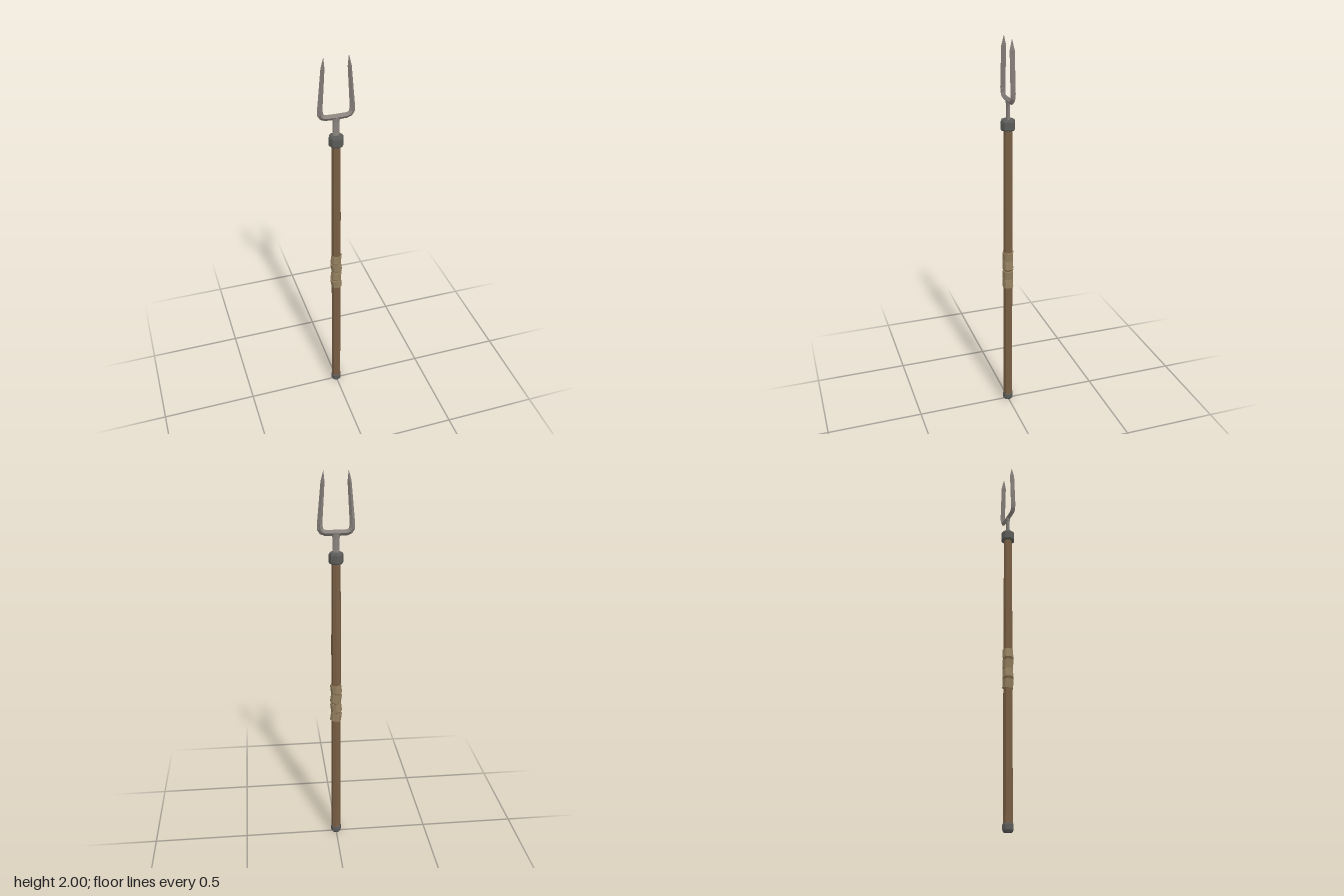
import * as THREE from 'three';

const mat = (name, color) => {
  const m = new THREE.MeshStandardMaterial({ color, flatShading: true });
  m.name = name;
  return m;
};

// Sweeps a diamond section along a planar path of [x, y, halfWidth, halfDepth]
function sweepDiamond(path) {
  const rings = path.map(([x, y, w, d], i) => {
    const a = path[Math.max(i - 1, 0)], b = path[Math.min(i + 1, path.length - 1)];
    const n = new THREE.Vector2(b[1] - a[1], a[0] - b[0]).normalize();
    return [[x + n.x * w, y + n.y * w, 0], [x, y, d], [x - n.x * w, y - n.y * w, 0], [x, y, -d]];
  });
  const pos = [];
  for (let i = 0; i < rings.length - 1; i++) {
    for (let k = 0; k < 4; k++) {
      const j = (k + 1) % 4;
      const a = rings[i][k], b = rings[i][j], c = rings[i + 1][j], d = rings[i + 1][k];
      pos.push(...a, ...c, ...b, ...a, ...d, ...c);
    }
  }
  const g = new THREE.BufferGeometry();
  g.setAttribute('position', new THREE.Float32BufferAttribute(pos, 3));
  g.computeVertexNormals();
  return g;
}

export function createModel() {
  const model = new THREE.Group();
  const wood = mat('wood', 0x785e44);
  const leather = mat('leather wrap', 0x94805f);
  const iron = mat('dark iron', 0x5c5c5a);
  const steel = mat('steel', 0x8a837e);

  const add = (name, geometry, material) => {
    const m = new THREE.Mesh(geometry, material);
    m.name = name;
    model.add(m);
    return m;
  };
  // Eight-sided turned part from [radius, y] pairs
  const turned = (name, profile, material) =>
    add(name, new THREE.LatheGeometry(profile.map(p => new THREE.Vector2(...p)), 8), material);

  turned('shaft', [[0, 0.02], [0.025, 0.02], [0.0245, 1.13], [0.0225, 1.58], [0, 1.58]], wood);
  turned('buttCap', [[0, 0], [0.022, 0], [0.028, 0.01], [0.028, 0.034], [0.026, 0.039], [0, 0.039]], iron);
  turned('collar', [[0, 1.558], [0.033, 1.558], [0.037, 1.565], [0.037, 1.602], [0.032, 1.611], [0, 1.613]], iron);

  // Leather bands wound round the grip
  [0.728, 0.781, 0.834, 0.887].forEach((y, i) => {
    const band = add('gripBand' + (i + 1), new THREE.CylinderGeometry(0.029, 0.029, 0.046, 8), leather);
    band.position.y = y;
    band.rotation.z = i % 2 ? -0.12 : 0.14;
  });

  // Flattened stem flaring into the fork
  const stem = turned('forkStem', [[0.019, 1.6], [0.017, 1.63], [0.017, 1.68], [0.021, 1.704], [0, 1.708]], steel);
  stem.scale.z = 0.5;

  // Two-pronged fork: one mirrored path from tip to tip
  const half = [
    [0.02, 1.707, 0.015, 0.012], [0.052, 1.708, 0.015, 0.012], [0.068, 1.714, 0.015, 0.012],
    [0.076, 1.727, 0.015, 0.012], [0.078, 1.75, 0.013, 0.013], [0.063, 1.95, 0.0095, 0.0125],
    [0.059, 2, 0.0005, 0.0005],
  ];
  const left = half.map(([x, ...r]) => [-x, ...r]).reverse();
  add('fork', sweepDiamond([...left, ...half]), steel);

  return model;
}
